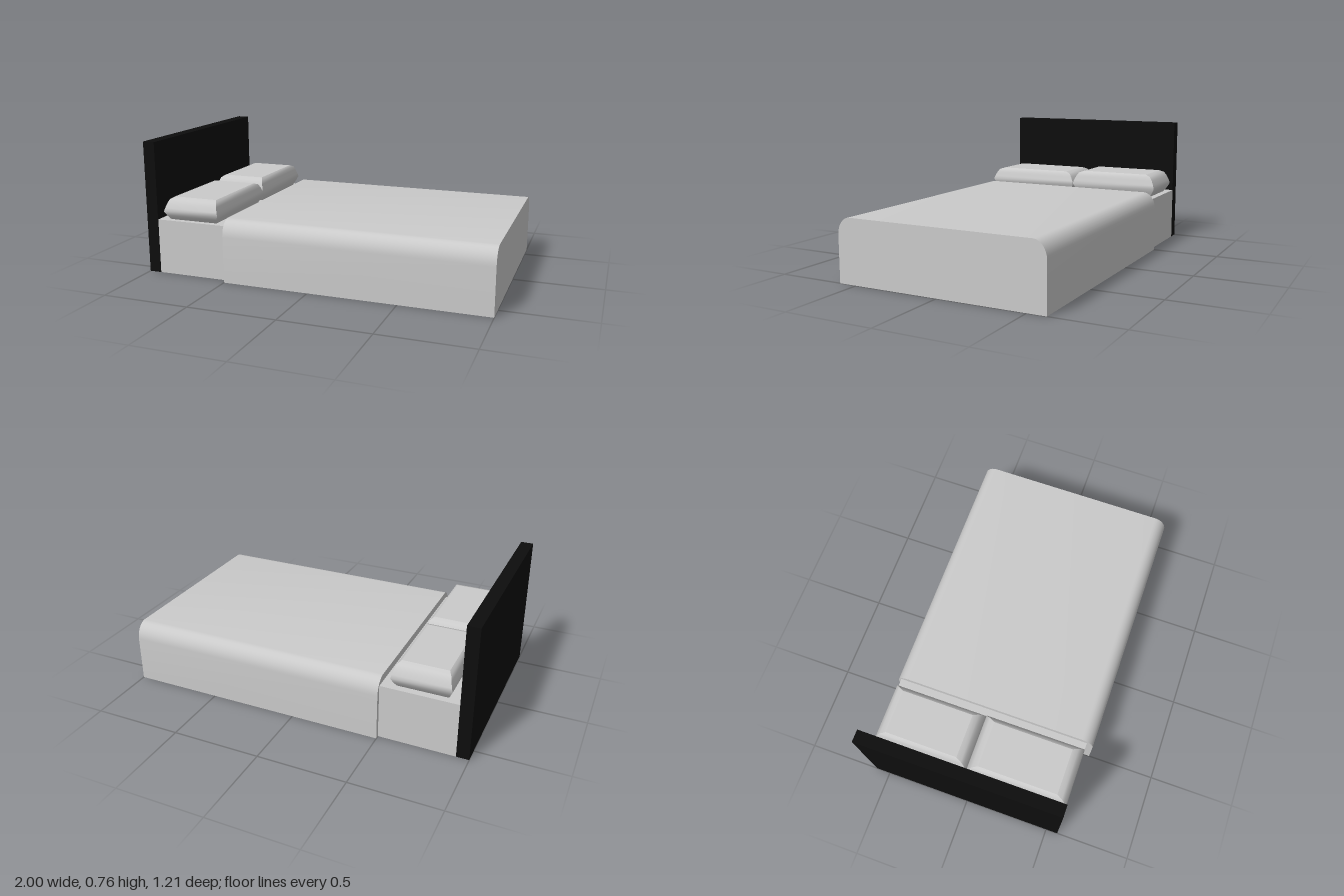
import * as THREE from 'three';
import { toCreasedNormals } from 'three/addons/utils/BufferGeometryUtils.js';

const fabric = new THREE.MeshStandardMaterial({ color: 0xcacaca });
fabric.name = 'pale grey fabric';
const black = new THREE.MeshStandardMaterial({ color: 0x0d0d0d });
black.name = 'black board';

function addMesh(group, name, geometry, material) {
  const mesh = new THREE.Mesh(geometry, material);
  mesh.name = name;
  group.add(mesh);
}

// box given by its limits on each axis
function boxBetween(x0, x1, y0, y1, z0, z1) {
  return new THREE.BoxGeometry(x1 - x0, y1 - y0, z1 - z0)
    .translate((x0 + x1) / 2, (y0 + y1) / 2, (z0 + z1) / 2);
}

// pillow rings from bottom to top: height fraction, inset in x, inset in z
const RINGS = [
  [0, 0.025, 0.035], [0.2, 0.012, 0.014], [0.4, 0, 0], [0.55, 0.006, 0.006],
  [0.75, 0.014, 0.018], [0.92, 0.022, 0.034], [1, 0.038, 0.065],
];

// stacked rectangles with bulging sides and mitred corners
function pillow(x0, x1, y0, y1, z0, z1) {
  const pos = [], index = [];
  const corners = ([t, ix, iz]) => {
    const y = y0 + t * (y1 - y0);
    return [[x0 + ix, y, z1 - iz], [x1 - ix, y, z1 - iz],
      [x1 - ix, y, z0 + iz], [x0 + ix, y, z0 + iz]];
  };
  const rings = RINGS.map(corners);
  // each side has its own vertices, so the corners stay sharp
  for (let s = 0; s < 4; s++) {
    const base = pos.length / 3;
    rings.forEach((r) => pos.push(...r[s], ...r[(s + 1) % 4]));
    for (let i = 0; i < rings.length - 1; i++) {
      const a = base + i * 2;
      index.push(a, a + 1, a + 3, a, a + 3, a + 2);
    }
  }
  // top and bottom
  for (const ring of [rings[rings.length - 1], [...rings[0]].reverse()]) {
    const base = pos.length / 3;
    ring.forEach((c) => pos.push(...c));
    index.push(base, base + 1, base + 2, base, base + 2, base + 3);
  }
  const g = new THREE.BufferGeometry();
  g.setAttribute('position', new THREE.Float32BufferAttribute(pos, 3));
  g.setIndex(index);
  g.computeVertexNormals();
  return g;
}

// cover with rounded upper edges, running along x
function blanket(x0, x1, half, height, rx, ry) {
  const s = new THREE.Shape();
  s.moveTo(-half, 0);
  s.lineTo(half, 0);
  s.lineTo(half, height - ry);
  s.bezierCurveTo(half, height - ry * 0.45, half - rx * 0.45, height, half - rx, height);
  s.lineTo(-half + rx, height);
  s.bezierCurveTo(-half + rx * 0.45, height, -half, height - ry * 0.45, -half, height - ry);
  s.closePath();
  const g = new THREE.ExtrudeGeometry(s, { depth: x1 - x0, bevelEnabled: false, curveSegments: 8 });
  g.rotateY(Math.PI / 2).translate(x0, 0, 0);
  return toCreasedNormals(g, 0.6);
}

export function createModel() {
  const bed = new THREE.Group();
  bed.name = 'bed';
  addMesh(bed, 'headboard', boxBetween(-1, -0.93, 0, 0.76, -0.583, 0.569), black);
  addMesh(bed, 'mattress', boxBetween(-0.93, -0.49, 0, 0.315, -0.583, 0.567), fabric);
  addMesh(bed, 'blanket', blanket(-0.5, 1, 0.606, 0.357, 0.075, 0.095), fabric);
  addMesh(bed, 'leftPillow', pillow(-0.89, -0.55, 0.315, 0.442, -0.026, 0.567), fabric);
  addMesh(bed, 'rightPillow', pillow(-0.885, -0.555, 0.315, 0.454, -0.577, -0.024), fabric);
  return bed;
}
